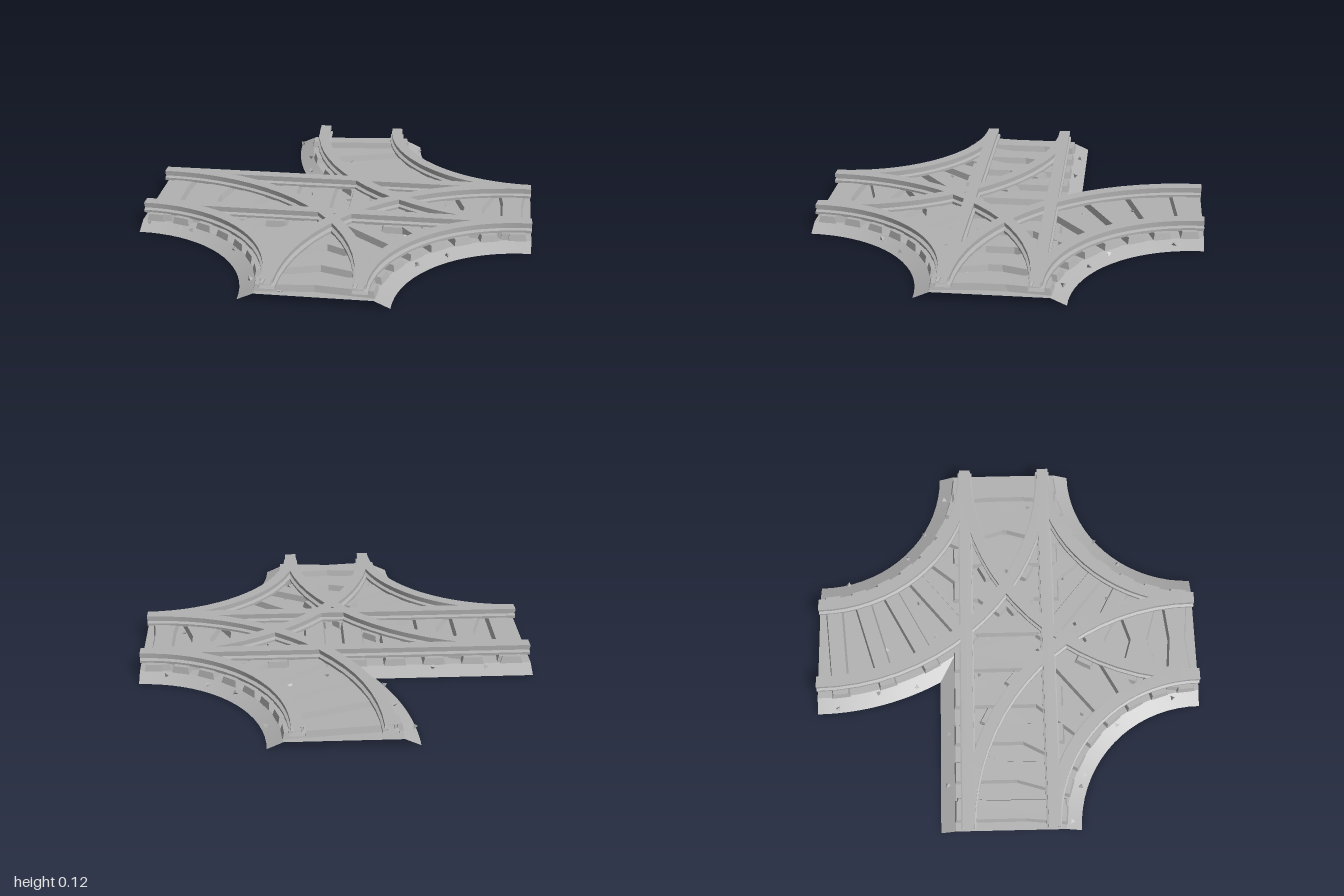
import * as THREE from 'three';
import { toCreasedNormals } from 'three/addons/utils/BufferGeometryUtils.js';

const PI = Math.PI;
const grey = new THREE.MeshStandardMaterial({ color: 0xb2b2b2, side: THREE.DoubleSide });
grey.name = 'stoneGrey';

// Grid of points (rows of equal length) turned into a surface
function gridSurface(rows, crease = 0.4) {
  const pos = rows.flat(2), idx = [], n = rows[0].length;
  for (let i = 0; i < rows.length - 1; i++) {
    for (let j = 0; j < n - 1; j++) {
      const a = i * n + j, b = a + n;
      idx.push(a, b, a + 1, b, b + 1, a + 1);
    }
  }
  const g = new THREE.BufferGeometry();
  g.setAttribute('position', new THREE.Float32BufferAttribute(pos, 3));
  g.setIndex(idx);
  g.computeVertexNormals();
  return toCreasedNormals(g, crease);
}

// Centre lines: each gives position, sideways normal and tangent at t
const straight = t => ({ x: -1 + 2 * t, z: 0, nx: 0, nz: 1, tx: 1, tz: 0 });
const curve = (cx, cz, start) => t => {
  const a = start - t * PI / 2, c = Math.cos(a), s = Math.sin(a);
  return { x: cx + c, z: cz + s, nx: c, nz: s, tx: s, tz: -c };
};
const tracks = [
  { name: 'straight', at: straight, steps: 1, sleepers: 10 },
  { name: 'backRightCurve', at: curve(1, -1, PI), steps: 18, sleepers: 8 },
  { name: 'frontRightCurve', at: curve(1, 1, 1.5 * PI), steps: 18, sleepers: 8 },
  { name: 'frontLeftCurve', at: curve(-1, 1, 0), steps: 18, sleepers: 8 },
];

// Rail section: head, web and foot, open at the track ends
const half = [[0.038, 0.064], [0.038, 0.078], [0.018, 0.083], [0.018, 0.092], [0.03, 0.096], [0.03, 0.115]];
const railProfile = [...half, ...half.map(([u, v]) => [-u, v]).reverse(), half[0]];

function railGeometry(track, offset) {
  const rows = [];
  for (let i = 0; i <= track.steps; i++) {
    const p = track.at(i / track.steps);
    rows.push(railProfile.map(([u, v]) => [p.x + p.nx * (u + offset), v, p.z + p.nz * (u + offset)]));
  }
  return gridSurface(rows);
}

// Sleeper: box with its top drawn in
function sleeperGeometry(width) {
  const g = new THREE.BoxGeometry(width, 0.034, 0.57).toNonIndexed();
  const p = g.attributes.position;
  for (let i = 0; i < p.count; i++) {
    if (p.getY(i) > 0) p.setXYZ(i, p.getX(i) * 0.82, p.getY(i), p.getZ(i) * 0.97);
  }
  g.computeVertexNormals();
  return g;
}

// Free edges of the ballast bed at half width w
function bedEdges(w) {
  const arc = (cx, cz, r, a0, a1) => Array.from({ length: 19 }, (_, i) => {
    const a = a0 + (a1 - a0) * i / 18;
    return [cx + r * Math.cos(a), cz + r * Math.sin(a)];
  });
  const notch = 1 - 2 * Math.sqrt(w);
  return [
    [[-1, -w], [notch, -w]],
    arc(1, -1, 1 + w, Math.atan2(1 - w, -2 * Math.sqrt(w)), PI),
    arc(1, -1, 1 - w, PI, PI / 2),
    arc(1, 1, 1 - w, -PI / 2, -PI),
    arc(-1, 1, 1 - w, 0, -PI / 2),
  ];
}

export function createModel() {
  const model = new THREE.Group();
  model.name = 'trackJunction';
  const add = (parent, geometry, name) => {
    const m = new THREE.Mesh(geometry, grey);
    m.name = name;
    parent.add(m);
    return m;
  };

  // Ballast: flat bed and sloping shoulders
  const bedY = 0.035;
  const outer = bedEdges(0.357), inner = bedEdges(0.28);
  const outline = new THREE.Shape(inner.flat().map(([x, z]) => new THREE.Vector2(x, -z)));
  add(model, new THREE.ShapeGeometry(outline).rotateX(-PI / 2).translate(0, bedY, 0), 'ballastBed');
  outer.forEach((edge, k) => {
    const rows = edge.map(([x, z], i) => [[x, 0, z], [inner[k][i][0], bedY, inner[k][i][1]]]);
    // reversed so the upper face is the front
    add(model, gridSurface(rows.reverse()), 'ballastShoulder');
  });

  // Rails and sleepers of every track
  for (const track of tracks) {
    const group = new THREE.Group();
    group.name = track.name;
    model.add(group);
    for (const offset of [-0.215, 0.215]) add(group, railGeometry(track, offset), 'rail');
    const sleeper = sleeperGeometry(track.steps > 1 ? 0.095 : 0.115);
    for (let i = 0; i < track.sleepers; i++) {
      const p = track.at((i + 0.5) / track.sleepers);
      const m = add(group, sleeper, 'sleeper');
      m.position.set(p.x, 0.05, p.z);
      m.rotation.y = Math.atan2(-p.tz, p.tx);
    }
  }

  // Loose stones: x, z
  const stones = [
    [-0.34, -0.89], [-0.26, -0.68], [-0.23, -0.48], [-0.02, -0.64], [0.05, -0.38], [0.24, -0.47],
    [0.36, -0.85], [0.51, -0.53], [0.65, -0.44], [0.86, -0.33], [-0.76, -0.32], [-0.49, -0.31],
    [-0.17, -0.15], [0.03, -0.1], [0.8, 0.13], [-0.96, 0.31], [-0.78, 0.36], [-0.72, 0.38],
    [-0.4, 0.38], [-0.46, 0.56], [-0.32, 0.86], [0.25, 0.54], [0.37, 0.31], [0.45, 0.61],
    [0.59, 0.49], [-0.16, 0.96],
  ];
  const stone = new THREE.TetrahedronGeometry(0.016);
  stones.forEach(([x, z], i) => {
    const m = add(model, stone, 'stone');
    m.position.set(x, 0.036, z);
    m.rotation.set(i * 1.3, i * 2.1, i * 0.7);
  });
  return model;
}
